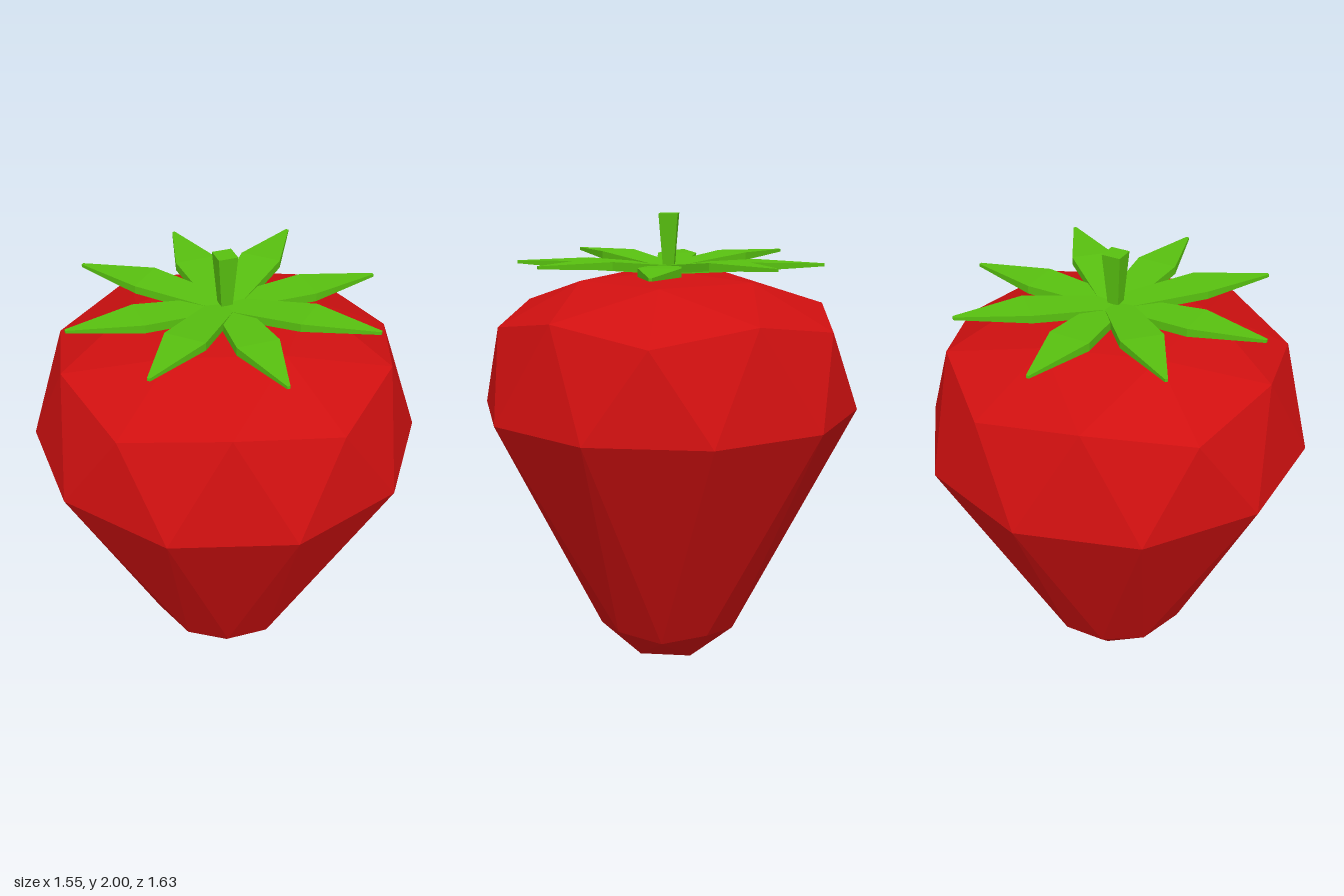
import * as THREE from 'three';

const paint = (color) => new THREE.MeshStandardMaterial({ color, flatShading: true });

// Faceted fruit: a once-divided icosahedron, point up, whose rings are moved to new radii and heights
function fruitGeometry() {
  const geo = new THREE.IcosahedronGeometry(1, 1);
  geo.rotateX(-Math.atan2((1 + Math.sqrt(5)) / 2, 1));
  geo.rotateY(Math.PI / 2);
  // [unit height of ring, new radius, new height]
  const rings = [
    [1, 0, 1.76], [0.851, 0.38, 1.725], [0.526, 0.69, 1.605], [0.447, 0.73, 1.54], [0, 0.815, 1.175],
    [-0.447, 0.33, 0.21], [-0.526, 0.31, 0.18], [-0.851, 0.19, 0.06], [-1, 0, 0],
  ];
  const p = geo.attributes.position;
  for (let i = 0; i < p.count; i++) {
    const y = p.getY(i);
    const ring = rings.reduce((a, b) => (Math.abs(b[0] - y) < Math.abs(a[0] - y) ? b : a));
    const angle = Math.atan2(p.getZ(i), p.getX(i));
    p.setXYZ(i, ring[1] * Math.cos(angle), ring[2], ring[1] * Math.sin(angle));
  }
  geo.computeVertexNormals();
  return geo;
}

// Leaf along +x, lofted through rectangular sections [x, half width, top, bottom]
function leafGeometry(sections) {
  const pos = [];
  const index = [];
  for (const [x, w, top, bottom] of sections) {
    pos.push(x, bottom, -w, x, top, -w, x, top, w, x, bottom, w);
  }
  for (let i = 0; i < sections.length - 1; i++) {
    for (let j = 0; j < 4; j++) {
      const a = i * 4 + j;
      const b = i * 4 + ((j + 1) % 4);
      index.push(a, b, b + 4, a, b + 4, a + 4);
    }
  }
  const e = (sections.length - 1) * 4;
  index.push(e, e + 1, e + 2, e, e + 2, e + 3, 0, 2, 1, 0, 3, 2);
  const indexed = new THREE.BufferGeometry();
  indexed.setAttribute('position', new THREE.Float32BufferAttribute(pos, 3));
  indexed.setIndex(index);
  const geo = indexed.toNonIndexed();
  geo.computeVertexNormals();
  return geo;
}

export function createModel() {
  const model = new THREE.Group();
  model.name = 'strawberry';
  const green = paint(0x58c010);

  const fruit = new THREE.Mesh(fruitGeometry(), paint(0xd01010));
  fruit.name = 'fruit';
  model.add(fruit);

  // Crown of eight leaves, the diagonal ones raised a little
  const crown = new THREE.Group();
  crown.name = 'leafCrown';
  const low = leafGeometry([[0, 0.055, 1.785, 1.75], [0.36, 0.087, 1.805, 1.77], [0.655, 0.006, 1.797, 1.785]]);
  const high = leafGeometry([[0, 0.055, 1.784, 1.75], [0.36, 0.087, 1.823, 1.79], [0.655, 0.006, 1.818, 1.806]]);
  for (let i = 0; i < 8; i++) {
    const leaf = new THREE.Mesh(i % 2 ? high : low, green);
    leaf.name = 'leaf' + (i + 1);
    leaf.rotation.y = (i * Math.PI) / 4;
    crown.add(leaf);
  }
  model.add(crown);

  // Square stem, wider at the top
  const stemGeo = new THREE.CylinderGeometry(0.04 * Math.SQRT2, 0.022 * Math.SQRT2, 0.24, 4);
  stemGeo.rotateY(Math.PI / 4);
  const stem = new THREE.Mesh(stemGeo, green);
  stem.name = 'stem';
  stem.position.y = 1.88;
  model.add(stem);

  return model;
}
